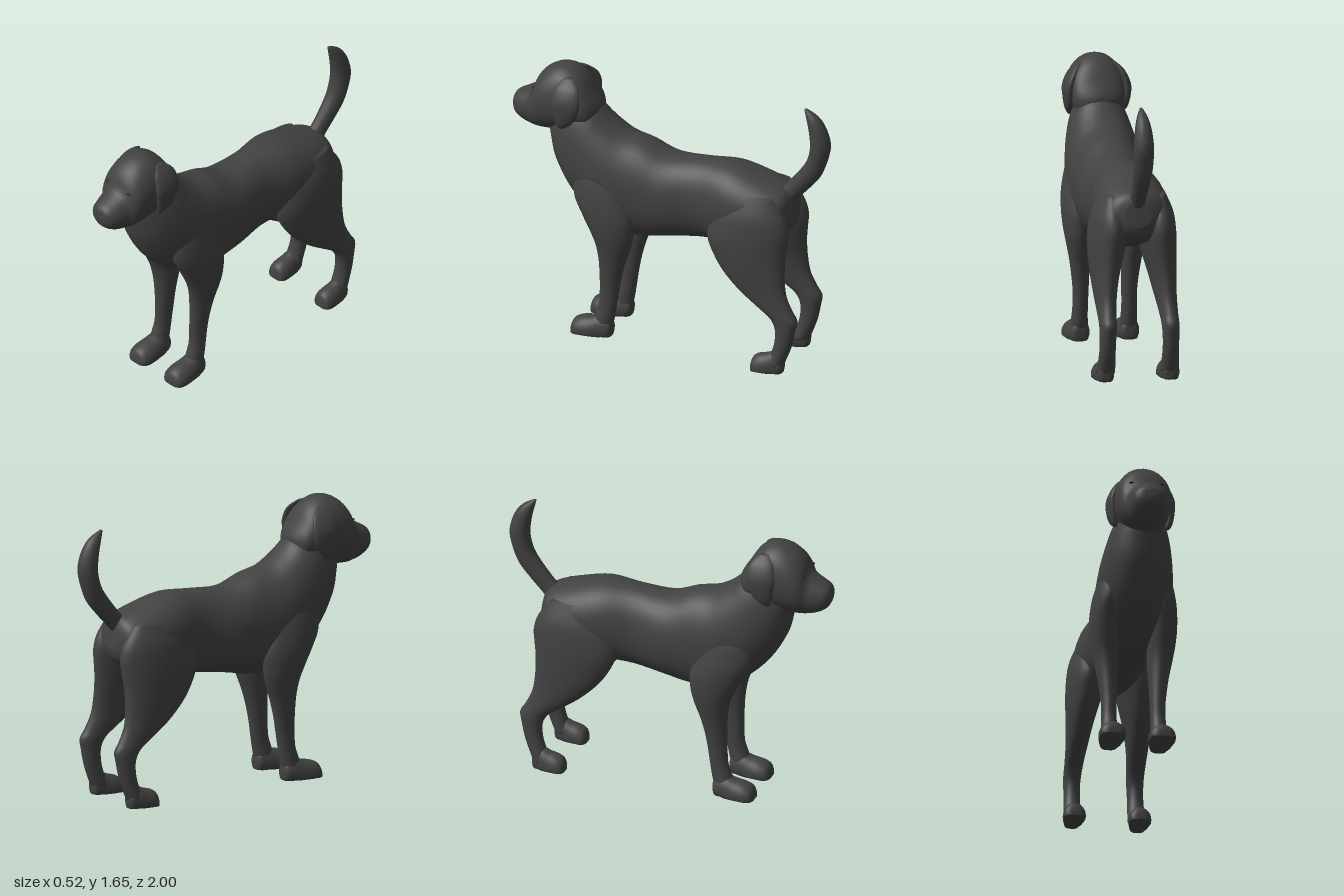
import * as THREE from 'three';

// Smooth closed skin through oval sections. Each section is
// [z1, y1, z2, y2, halfWidth, centreX]: two opposite rim points in the side plane, and the width across.
function loft(sections, { seg = 28, sub = 4, power = 2, floor = -1 } = {}) {
  const spline = (a, b, c, d, t) =>
    0.5 * (2 * b + (c - a) * t + (2 * a - 5 * b + 4 * c - d) * t * t + (3 * b - a - 3 * c + d) * t * t * t);
  const n = sections.length;
  const at = (i) => sections[Math.min(n - 1, Math.max(0, i))];
  const rings = [];
  for (let i = 0; i < n - 1; i++) {
    for (let s = 0; s < sub; s++) {
      rings.push(at(i).map((_, k) => spline(at(i - 1)[k], at(i)[k], at(i + 1)[k], at(i + 2)[k], s / sub)));
    }
  }
  rings.push(at(n - 1));

  const pos = [], idx = [];
  const round = (v) => Math.sign(v) * Math.pow(Math.abs(v), 2 / power);
  for (const [z1, y1, z2, y2, w, x] of rings) {
    for (let j = 0; j < seg; j++) {
      const a = (j / seg) * Math.PI * 2;
      const c = round(Math.cos(a)) / 2, s = round(Math.sin(a));
      pos.push(x + w * s, Math.max(floor, (y1 + y2) / 2 + (y1 - y2) * c), (z1 + z2) / 2 + (z1 - z2) * c);
    }
  }
  const last = rings.length - 1;
  for (let i = 0; i < last; i++) {
    for (let j = 0; j < seg; j++) {
      const a = i * seg + j, b = i * seg + (j + 1) % seg;
      idx.push(a, b, a + seg, b, b + seg, a + seg);
    }
  }
  // end caps
  for (const r of [0, last]) {
    const [z1, y1, z2, y2, , x] = rings[r];
    const centre = pos.length / 3;
    pos.push(x, Math.max(floor, (y1 + y2) / 2), (z1 + z2) / 2);
    for (let j = 0; j < seg; j++) {
      const a = r * seg + j, b = r * seg + (j + 1) % seg;
      if (r === 0) idx.push(centre, b, a);
      else idx.push(centre, a, b);
    }
  }
  // turn the faces outward
  const p = (i) => new THREE.Vector3(pos[i * 3], pos[i * 3 + 1], pos[i * 3 + 2]);
  let volume = 0;
  for (let i = 0; i < idx.length; i += 3) volume += p(idx[i]).dot(p(idx[i + 1]).cross(p(idx[i + 2])));
  if (volume < 0) idx.reverse();

  const g = new THREE.BufferGeometry();
  g.setAttribute('position', new THREE.Float32BufferAttribute(pos, 3));
  g.setIndex(idx);
  g.computeVertexNormals();
  return g;
}

// Level section of a limb: height, front z, back z, inner x, outer x
const level = (side) => ([y, zf, zb, xi, xo]) => [zf, y, zb, y, (xo - xi) / 2, side * (xi + xo) / 2];
// Upright section of the head or a paw: z, top, bottom, half width
const upright = (x) => ([z, top, bottom, w]) => [z, top, z, bottom, w, x];
// Slanted section on the centre line
const middle = (s) => [...s, 0];

const TORSO = [
  [-0.765, 1.07, -0.785, 0.92, 0.07], [-0.74, 1.105, -0.765, 0.86, 0.14], [-0.69, 1.13, -0.71, 0.81, 0.185],
  [-0.58, 1.165, -0.58, 0.77, 0.215], [-0.4, 1.21, -0.4, 0.72, 0.215], [-0.2, 1.2, -0.2, 0.7, 0.178],
  [0, 1.19, 0, 0.67, 0.205], [0.15, 1.245, 0.15, 0.64, 0.21], [0.28, 1.275, 0.3, 0.645, 0.222],
  [0.36, 1.32, 0.48, 0.735, 0.22], [0.41, 1.36, 0.62, 0.87, 0.205], [0.45, 1.4, 0.72, 1.04, 0.18],
  [0.5, 1.43, 0.755, 1.17, 0.152], [0.58, 1.45, 0.77, 1.25, 0.12],
];
const HEAD = [
  [0.45, 1.42, 1.37, 0.04], [0.465, 1.45, 1.33, 0.09], [0.5, 1.505, 1.28, 0.14], [0.56, 1.595, 1.25, 0.16],
  [0.64, 1.642, 1.23, 0.166], [0.72, 1.638, 1.22, 0.165], [0.79, 1.6, 1.215, 0.158], [0.835, 1.55, 1.215, 0.143],
  [0.87, 1.48, 1.22, 0.118], [0.92, 1.445, 1.235, 0.105], [0.97, 1.418, 1.265, 0.085],
  [0.993, 1.395, 1.3, 0.055], [1, 1.365, 1.335, 0.02],
];
const TAIL = [
  [-0.66, 1.09, -0.74, 0.99, 0.05], [-0.71, 1.125, -0.8, 1.06, 0.045], [-0.775, 1.2, -0.86, 1.125, 0.048],
  [-0.84, 1.29, -0.94, 1.225, 0.055], [-0.87, 1.37, -0.985, 1.345, 0.06], [-0.875, 1.44, -0.998, 1.44, 0.06],
  [-0.865, 1.52, -0.968, 1.54, 0.05], [-0.85, 1.585, -0.92, 1.605, 0.034], [-0.835, 1.642, -0.85, 1.648, 0.008],
];
const FRONT_LEG = [
  [1.16, 0.5, 0.34, 0.08, 0.15], [1.04, 0.55, 0.27, 0.08, 0.213], [0.9, 0.555, 0.21, 0.08, 0.246],
  [0.79, 0.505, 0.18, 0.085, 0.256], [0.69, 0.455, 0.182, 0.085, 0.25], [0.6, 0.42, 0.2, 0.087, 0.235],
  [0.5, 0.404, 0.235, 0.09, 0.215], [0.4, 0.4, 0.262, 0.095, 0.2], [0.3, 0.4, 0.28, 0.098, 0.19],
  [0.2, 0.405, 0.295, 0.1, 0.19], [0.12, 0.43, 0.308, 0.097, 0.195], [0.05, 0.45, 0.325, 0.09, 0.2],
];
const HIND_LEG = [
  [1.09, -0.46, -0.69, 0.1, 0.185], [0.98, -0.36, -0.768, 0.05, 0.233], [0.89, -0.3, -0.797, 0.035, 0.25],
  [0.8, -0.285, -0.79, 0.04, 0.257], [0.71, -0.315, -0.78, 0.06, 0.256], [0.6, -0.385, -0.78, 0.09, 0.25],
  [0.49, -0.495, -0.795, 0.113, 0.242], [0.4, -0.62, -0.835, 0.128, 0.237], [0.345, -0.695, -0.867, 0.133, 0.236],
  [0.28, -0.73, -0.857, 0.138, 0.235], [0.19, -0.728, -0.838, 0.14, 0.235], [0.11, -0.705, -0.81, 0.137, 0.24],
  [0.05, -0.68, -0.785, 0.135, 0.245],
];
const EAR = [
  [1.6, 0.645, 0.59, 0.09, 0.112], [1.55, 0.685, 0.54, 0.12, 0.165], [1.47, 0.7, 0.525, 0.14, 0.201],
  [1.4, 0.692, 0.535, 0.14, 0.199], [1.34, 0.682, 0.57, 0.138, 0.188], [1.305, 0.672, 0.61, 0.138, 0.172],
  [1.29, 0.66, 0.64, 0.145, 0.16],
];
// Paw sections measured forward from the heel; the underside is cut flat by the floor
const PAW = [
  [0, 0.08, 0.02, 0.025], [0.015, 0.11, -0.02, 0.048], [0.07, 0.13, -0.05, 0.062], [0.13, 0.112, -0.06, 0.073],
  [0.185, 0.1, -0.06, 0.076], [0.225, 0.083, -0.055, 0.068], [0.243, 0.06, -0.04, 0.05], [0.25, 0.03, -0.02, 0.03],
];

export function createModel() {
  const coat = new THREE.MeshStandardMaterial({ color: 0x424242 });
  coat.name = 'charcoalCoat';
  const dark = new THREE.MeshStandardMaterial({ color: 0x1c1c1c });
  dark.name = 'darkDetail';

  const dog = new THREE.Group();
  dog.name = 'dog';
  const add = (name, geometry, material = coat) => {
    const mesh = new THREE.Mesh(geometry, material);
    mesh.name = name;
    dog.add(mesh);
    return mesh;
  };
  const ball = (name, position, scale, material) => {
    const mesh = add(name, new THREE.SphereGeometry(1, 16, 12), material);
    mesh.position.set(...position);
    mesh.scale.set(...scale);
    return mesh;
  };

  // body, head and tail on the centre line
  add('torso', loft(TORSO.map(middle), { seg: 40, power: 2.15 }));
  add('head', loft(HEAD.map(upright(0)), { seg: 36, power: 2.1 }));
  add('tail', loft(TAIL.map(middle), { seg: 16 }));
  ball('nose', [0, 1.372, 0.975], [0.042, 0.028, 0.025], coat);

  // paired parts
  for (const [side, label] of [[1, 'left'], [-1, 'right']]) {
    const paw = (name, x, heel, width, length) => add(name, loft(
      PAW.map(([z, top, bottom, w]) => upright(side * x)([heel + z * length, top, bottom, w * width])), { floor: 0 }));
    add(label + 'FrontLeg', loft(FRONT_LEG.map(level(side))));
    add(label + 'HindLeg', loft(HIND_LEG.map(level(side)), { seg: 32 }));
    paw(label + 'FrontPaw', 0.147, 0.318, 1.04, 1.02);
    paw(label + 'HindPaw', 0.193, -0.785, 0.87, 0.8);
    add(label + 'Ear', loft(EAR.map(level(side)), { seg: 24 }));
    ball(label + 'Eye', [side * 0.088, 1.485, 0.846], [0.014, 0.008, 0.012], dark);
    ball(label + 'Nostril', [side * 0.022, 1.37, 0.995], [0.008, 0.005, 0.004], dark);
  }
  return dog;
}
